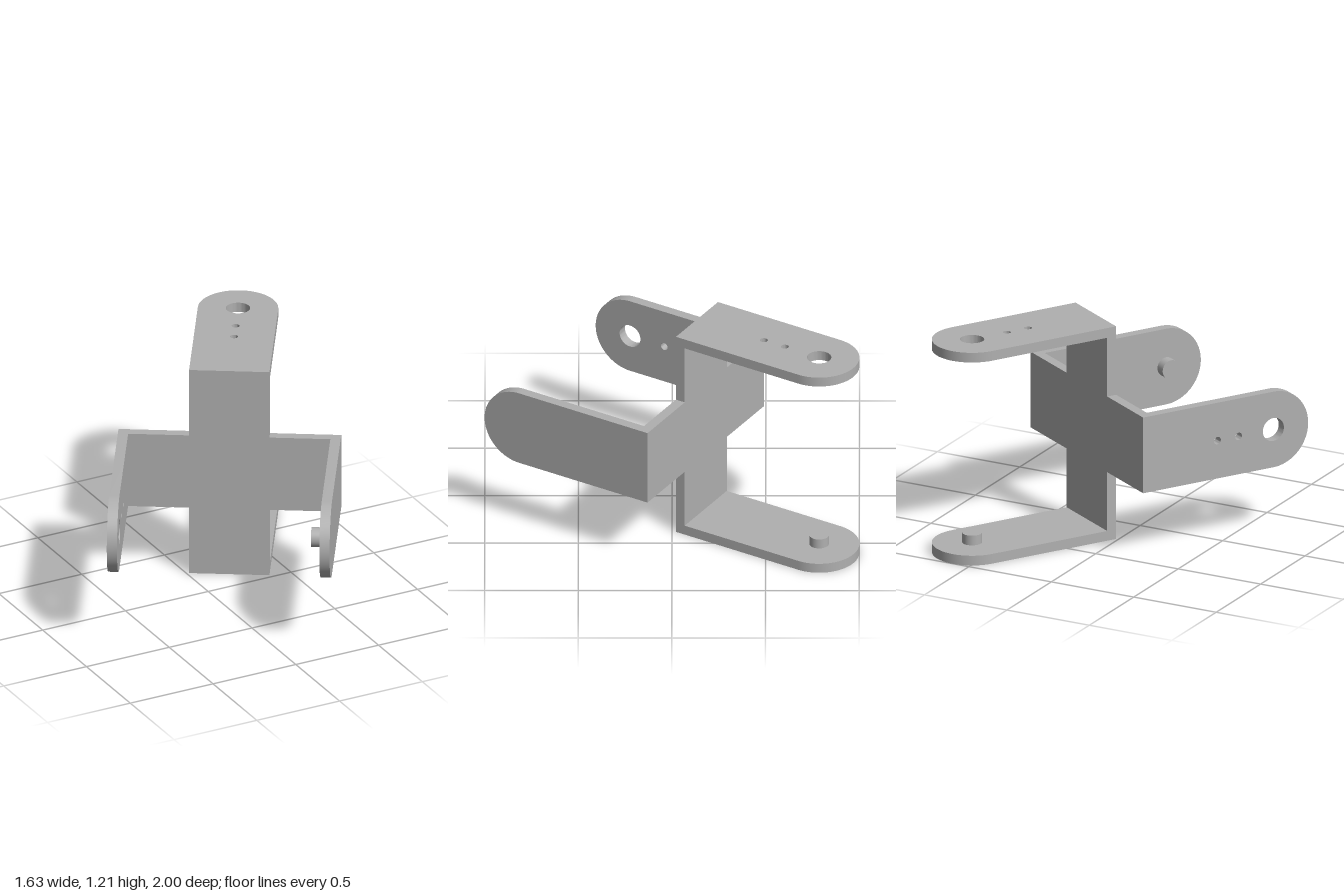
import * as THREE from 'three';
import { toCreasedNormals } from 'three/addons/utils/BufferGeometryUtils.js';

const T = 0.055;        // sheet thickness
const R = 0.215;        // half width of every arm
const HALF_X = 0.596;   // half span of the cross, sideways
const HALF_Y = 0.604;   // half span of the cross, upright

function extrude(shape) {
  const g = new THREE.ExtrudeGeometry(shape, { depth: T, bevelEnabled: false, curveSegments: 28 });
  return toCreasedNormals(g, 0.5);
}

// Round-ended arm along +x, with its inner face at z = T
function armGeometry(reach, holed) {
  const s = new THREE.Shape();
  s.moveTo(0, -R);
  s.lineTo(reach, -R);
  s.absarc(reach, 0, R, -Math.PI / 2, Math.PI / 2, false);
  s.lineTo(0, R);
  s.closePath();
  if (holed) {
    for (const [x, r] of [[reach, 0.065], [reach - 0.215, 0.021], [reach - 0.346, 0.021]]) {
      s.holes.push(new THREE.Path().absarc(x, 0, r, 0, Math.PI * 2, true));
    }
  }
  return extrude(s);
}

export function createModel() {
  const metal = new THREE.MeshStandardMaterial({ color: 0xb0b0b0 });
  metal.name = 'greyMetal';
  const model = new THREE.Group();
  model.name = 'hingeBracket';

  const bracket = new THREE.Group();
  bracket.name = 'bracket';
  bracket.position.set(0.226, HALF_Y, -0.18);
  bracket.rotation.y = -0.548;
  model.add(bracket);

  // Cross-shaped centre plate
  const a = HALF_X - T, b = HALF_Y - T;
  const cross = new THREE.Shape([
    [-a, -R], [-R, -R], [-R, -b], [R, -b], [R, -R], [a, -R],
    [a, R], [R, R], [R, b], [-R, b], [-R, R], [-a, R],
  ].map(([x, y]) => new THREE.Vector2(x, y)));
  const plate = new THREE.Mesh(extrude(cross), metal);
  plate.name = 'crossPlate';
  bracket.add(plate);

  // Arm pairs: one arm has holes, the other a pivot pin on its inner face
  const addArm = (name, position, along, inward, reach, holed) => {
    const arm = new THREE.Group();
    arm.name = name;
    const x = new THREE.Vector3(...along), z = new THREE.Vector3(...inward);
    const y = new THREE.Vector3().crossVectors(z, x);
    arm.quaternion.setFromRotationMatrix(new THREE.Matrix4().makeBasis(x, y, z));
    arm.position.set(...position);
    const strip = new THREE.Mesh(armGeometry(reach, holed), metal);
    strip.name = name + 'Strip';
    arm.add(strip);
    if (!holed) {
      const pin = new THREE.Mesh(new THREE.CylinderGeometry(0.053, 0.053, T, 32), metal);
      pin.name = name + 'Pin';
      pin.rotation.x = Math.PI / 2;
      pin.position.set(reach, 0, T * 1.5);
      arm.add(pin);
    }
    bracket.add(arm);
  };
  addArm('rightArm', [-HALF_X, 0, 0], [0, 0, 1], [1, 0, 0], 0.805, true);
  addArm('leftArm', [HALF_X, 0, 0], [0, 0, 1], [-1, 0, 0], 0.805, false);
  addArm('upperArm', [0, HALF_Y, T], [0, 0, -1], [0, -1, 0], 0.765, true);
  addArm('lowerArm', [0, -HALF_Y, T], [0, 0, -1], [0, 1, 0], 0.765, false);

  return model;
}
